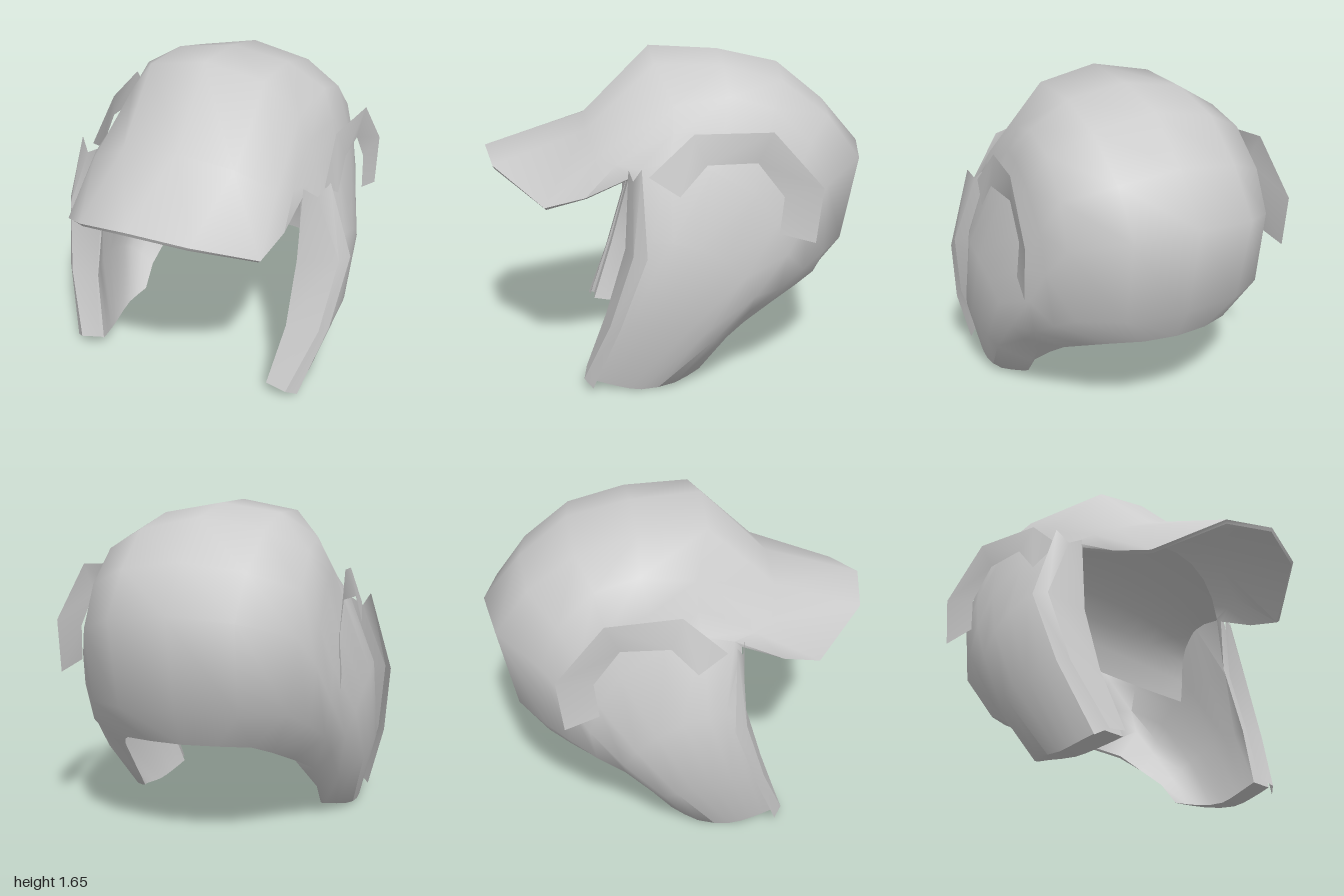
import * as THREE from 'three';
import { toCreasedNormals } from 'three/addons/utils/BufferGeometryUtils.js';

const V = (p) => new THREE.Vector3(...p);
const mirror = (v) => new THREE.Vector3(-v.x, v.y, v.z);
const grey = new THREE.MeshStandardMaterial({ color: 0xcccccc, side: THREE.DoubleSide });

function geometryFrom(points, index) {
  const g = new THREE.BufferGeometry().setFromPoints(points);
  g.setIndex(index);
  g.computeVertexNormals();
  return g;
}

// Arches over the head, brim edge to nape: centre, quarter, shoulder and temple of each
const arches = [
  [[0, 1.13, 1], [0.28, 1.08, 0.93], [0.52, 0.92, 0.66], [0.58, 1.08, 0.24]],
  [[0, 1.3, 0.48], [0.3, 1.26, 0.46], [0.5, 1.16, 0.4], [0.59, 1.12, 0.2]],
  [[0, 1.65, 0.13], [0.31, 1.59, 0.11], [0.47, 1.4, 0.03], [0.58, 1.15, 0.05]],
  [[0, 1.63, -0.23], [0.31, 1.58, -0.23], [0.51, 1.46, -0.24], [0.63, 1.12, -0.15]],
  [[0, 1.56, -0.55], [0.32, 1.5, -0.53], [0.52, 1.4, -0.46], [0.65, 1.0, -0.36]],
  [[0, 1.36, -0.8], [0.31, 1.32, -0.77], [0.53, 1.23, -0.64], [0.65, 0.85, -0.47]],
  [[0, 1.13, -1], [0.31, 1.1, -0.94], [0.54, 1.02, -0.73], [0.65, 0.7, -0.52]],
  [[0, 0.67, -0.9], [0.3, 0.67, -0.86], [0.5, 0.66, -0.73], [0.62, 0.51, -0.49]],
  [[0, 0.5, -0.81], [0.17, 0.5, -0.79], [0.32, 0.49, -0.72], [0.46, 0.38, -0.48]],
];
// Cheek guard bands, each from front edge to back edge
const cheekBands = [
  [[0.7, 0.78, 0.23], [0.75, 0.8, 0.05], [0.745, 0.7, -0.2], [0.69, 0.5, -0.36], [0.53, 0.29, -0.3]],
  [[0.7, 0.38, 0.34], [0.75, 0.38, 0.18], [0.75, 0.35, -0.02], [0.7, 0.28, -0.16], [0.53, 0.17, -0.2]],
  [[0.62, 0.05, 0.45], [0.64, 0.02, 0.32], [0.645, 0, 0.2], [0.62, 0.02, 0.03], [0.53, 0.05, -0.1]],
];
// Depth of the lining under each arch, deepest where it curls in above the nape
const liningDepth = [0.02, 0.02, 0.06, 0.1, 0.1, 0.12, 0.2, 0.33, 0.015];

// Closed shell of dome, brim and cheek guards
function shell() {
  const cheeks = cheekBands.map((b) => new THREE.CatmullRomCurve3(b.map(V)).getPoints(arches.length - 1));
  const rows = arches.map((arch, i) => {
    const half = arch.map(V);
    const ends = half.slice(1).reverse().map(mirror);
    const dome = new THREE.CatmullRomCurve3([...ends, ...half]).getPoints(12)
      .filter((_, k) => k % 2 === 0 || k === 1 || k === 11);
    const down = cheeks.map((band) => band[i]);
    return [...down.map(mirror).reverse(), ...dome, ...down];
  });
  const n = rows.length, m = rows[0].length, last = n - 1, mid = (m - 1) / 2;
  const outer = rows.flat(), count = outer.length;
  const face = [];
  for (let i = 0; i < last; i++) {
    for (let j = 0; j < m - 1; j++) {
      const a = i * m + j, b = a + 1, c = a + m, d = c + 1;
      face.push(a, b, c, b, d, c);
    }
  }

  // Lining of the dome, following the shell
  const normal = geometryFrom(outer, face).attributes.normal;
  const inner = outer.map((p) => p.clone());
  for (let i = 0; i < n; i++) {
    for (let j = 3; j < m - 3; j++) {
      const k = i * m + j, s = (j - mid) / (mid - 3);
      const depth = Math.min(liningDepth[i], 0.1 + 0.23 * (1 - s * s));
      inner[k].addScaledVector(new THREE.Vector3().fromBufferAttribute(normal, k), -depth);
    }
  }
  // Inside of the cheek guards, thick in front and thin behind
  for (let i = 0; i < n; i++) {
    const depth = 0.13 - 0.11 * (i / last) ** 2;
    for (const j of [0, 1, 2, m - 3, m - 2, m - 1]) {
      const p = inner[i * m + j];
      p.x -= Math.sign(p.x) * depth;
    }
    if (i === 0) continue;
    for (const j of [2, m - 3]) inner[i * m + j].lerpVectors(inner[i * m + j - 1], inner[i * m + j + 1], 0.5);
  }
  const index = [...face];
  for (let k = 0; k < face.length; k += 3) index.push(face[k] + count, face[k + 2] + count, face[k + 1] + count);

  // Rim joining outside and inside
  const loop = [];
  for (let j = 0; j < m - 1; j++) loop.push(j);
  for (let i = 0; i < last; i++) loop.push(i * m + m - 1);
  for (let j = m - 1; j > 0; j--) loop.push(last * m + j);
  for (let i = last; i > 0; i--) loop.push(i * m);
  loop.forEach((a, k) => {
    const b = loop[(k + 1) % loop.length];
    index.push(b, a, a + count, b, a + count, b + count);
  });
  return toCreasedNormals(geometryFrom([...outer, ...inner], index), 1.1);
}

// Thin folded strip through rows of points, optionally on the other side
function strip(rows, side) {
  const w = rows[0].length;
  const points = rows.flat().map(([x, y, z]) => new THREE.Vector3(x * side, y, z));
  const index = [];
  for (let i = 0; i < rows.length - 1; i++) {
    for (let j = 0; j < w - 1; j++) {
      const a = i * w + j, b = a + 1, c = a + w, d = c + 1;
      if (side > 0) index.push(a, c, b, b, c, d);
      else index.push(a, b, c, b, d, c);
    }
  }
  return toCreasedNormals(geometryFrom(points, index), 0.6);
}

// Inner edge, ridge and outer edge of the trim, top to bottom
const trimRows = [
  [[0.58, 1.12, 0.25], [0.65, 1.08, 0.23], [0.7, 1.15, 0.19]],
  [[0.57, 0.72, 0.27], [0.78, 0.75, 0.235], [0.82, 0.75, 0.17]],
  [[0.56, 0.38, 0.37], [0.73, 0.38, 0.35], [0.77, 0.38, 0.3]],
  [[0.5, 0.07, 0.475], [0.61, 0.05, 0.485], [0.66, 0.02, 0.44]],
];
// Outer and inner edge of the curved side ornament, front to back
const ornamentRows = [
  [[0.66, 1.1, 0.155], [0.69, 1.01, 0.01]],
  [[0.64, 1.3, -0.06], [0.68, 1.16, -0.12]],
  [[0.69, 1.315, -0.43], [0.67, 1.165, -0.36]],
  [[0.72, 1.05, -0.67], [0.68, 1.0, -0.49]],
  [[0.72, 0.78, -0.64], [0.69, 0.82, -0.47]],
];

// Thin wall from under the brim down to a free edge, bowed across the head
function foreheadRows() {
  const columns = [];
  for (let j = 0; j <= 8; j++) {
    const s = j / 4 - 1, q = s * s;
    columns.push(new THREE.QuadraticBezierCurve3(
      new THREE.Vector3(0.57 * s, 1.24 - 0.14 * q, 0.38 - 0.18 * q),
      new THREE.Vector3(0.59 * s, 1.14 - 0.06 * q, -0.15 + 0.06 * q),
      new THREE.Vector3(0.58 * s, 0.69 - 0.02 * q, -0.16 + 0.06 * q),
    ).getPoints(6));
  }
  return columns[0].map((_, i) => columns.map((column) => column[i].toArray()));
}

export function createModel() {
  const model = new THREE.Group();
  model.name = 'helmet';
  const add = (name, geometry) => {
    const mesh = new THREE.Mesh(geometry, grey);
    mesh.name = name;
    model.add(mesh);
  };
  add('helmetShell', shell());
  add('foreheadWall', strip(foreheadRows(), 1));
  for (const [name, side] of [['left', 1], ['right', -1]]) {
    add(name + 'CheekTrim', strip(trimRows, side));
    add(name + 'SideOrnament', strip(ornamentRows, side));
  }
  return model;
}
